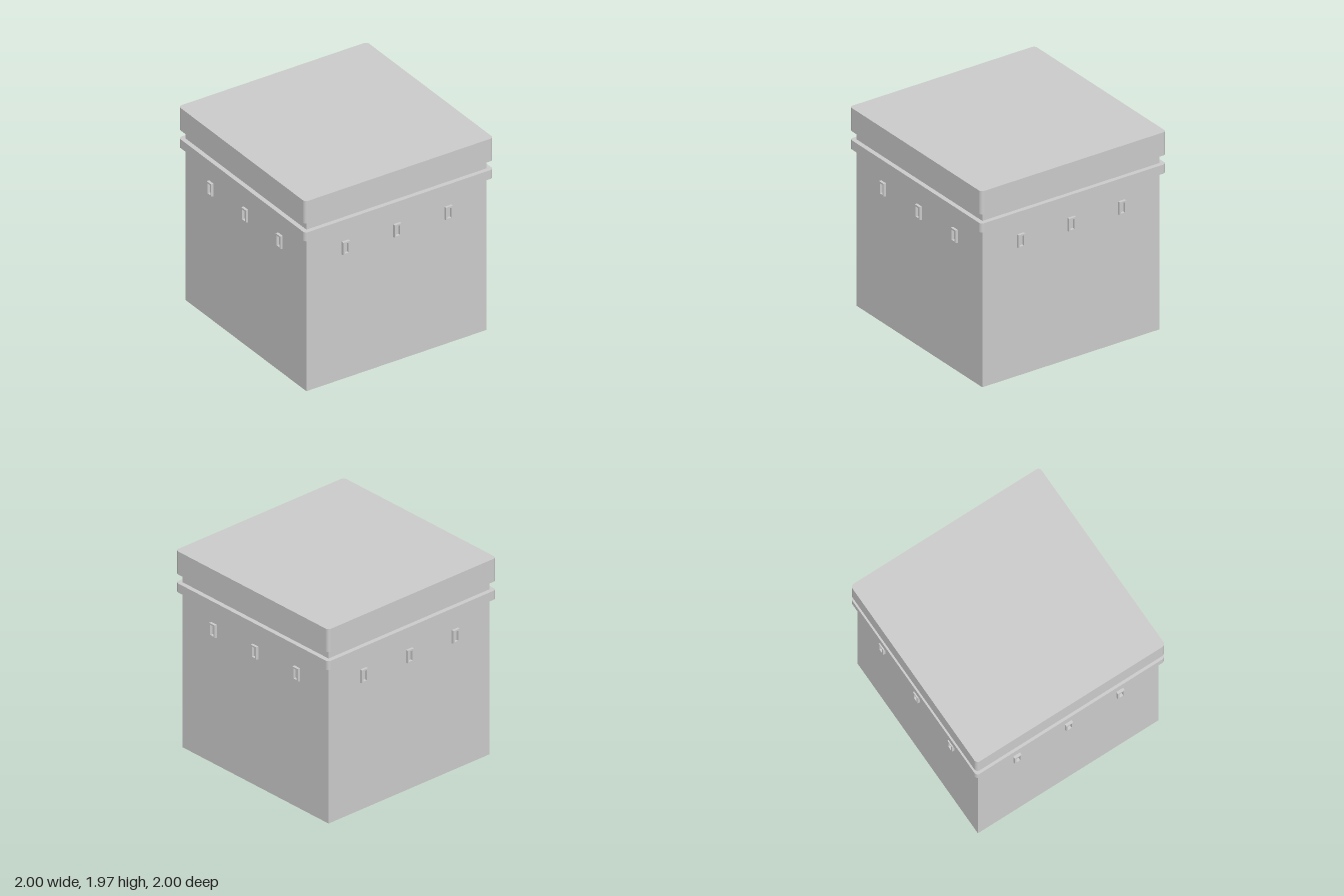
import * as THREE from 'three';

const material = new THREE.MeshStandardMaterial({ color: 0xcccccc });
const WALL = 0.955;

function addMesh(parent, geometry, name) {
  const mesh = new THREE.Mesh(geometry, material);
  mesh.name = name;
  parent.add(mesh);
  return mesh;
}

// Square slab with rounded vertical corners, spanning y0 to y1
function roundedSlab(half, radius, y0, y1) {
  const s = new THREE.Shape();
  const c = half - radius;
  s.absarc(c, c, radius, 0, Math.PI / 2);
  s.absarc(-c, c, radius, Math.PI / 2, Math.PI);
  s.absarc(-c, -c, radius, Math.PI, Math.PI * 1.5);
  s.absarc(c, -c, radius, Math.PI * 1.5, Math.PI * 2);
  s.closePath();
  const g = new THREE.ExtrudeGeometry(s, { depth: y1 - y0, bevelEnabled: false, curveSegments: 6 });
  g.rotateX(-Math.PI / 2);
  g.translate(0, y0, 0);
  return g;
}

function rectangle(PathType, halfW, halfH) {
  return new PathType().setFromPoints([
    new THREE.Vector2(-halfW, -halfH), new THREE.Vector2(halfW, -halfH),
    new THREE.Vector2(halfW, halfH), new THREE.Vector2(-halfW, halfH),
  ]);
}

// Small window surround with an open centre and a sloping underside
function windowFrame() {
  const halfW = 0.036, halfH = 0.066, depth = 0.027;
  const shape = rectangle(THREE.Shape, halfW, halfH);
  shape.holes.push(rectangle(THREE.Path, 0.021, 0.05));
  const g = new THREE.ExtrudeGeometry(shape, { depth, bevelEnabled: false });
  const p = g.attributes.position;
  for (let i = 0; i < p.count; i++) {
    if (p.getZ(i) > depth / 2 && p.getY(i) < -halfH + 0.001) p.setY(i, -halfH + 0.008);
  }
  g.computeVertexNormals();
  return g;
}

export function createModel() {
  const model = new THREE.Group();
  model.name = 'squareTower';

  // Main block, running up to the underside of the parapet
  const body = addMesh(model, new THREE.BoxGeometry(WALL * 2, 1.74, WALL * 2), 'body');
  body.position.y = 0.87;

  // Projecting band and top slab
  addMesh(model, roundedSlab(1, 0.035, 1.56, 1.65), 'band');
  addMesh(model, roundedSlab(1, 0.035, 1.74, 1.97), 'topSlab');

  // Three windows on each of the four walls
  const frame = windowFrame();
  for (let side = 0; side < 4; side++) {
    const wall = new THREE.Group();
    wall.name = 'wallWindows';
    wall.rotation.y = side * Math.PI / 2;
    for (const x of [-0.545, 0, 0.545]) {
      addMesh(wall, frame, 'windowFrame').position.set(x, 1.338, WALL - 0.001);
    }
    model.add(wall);
  }
  return model;
}
